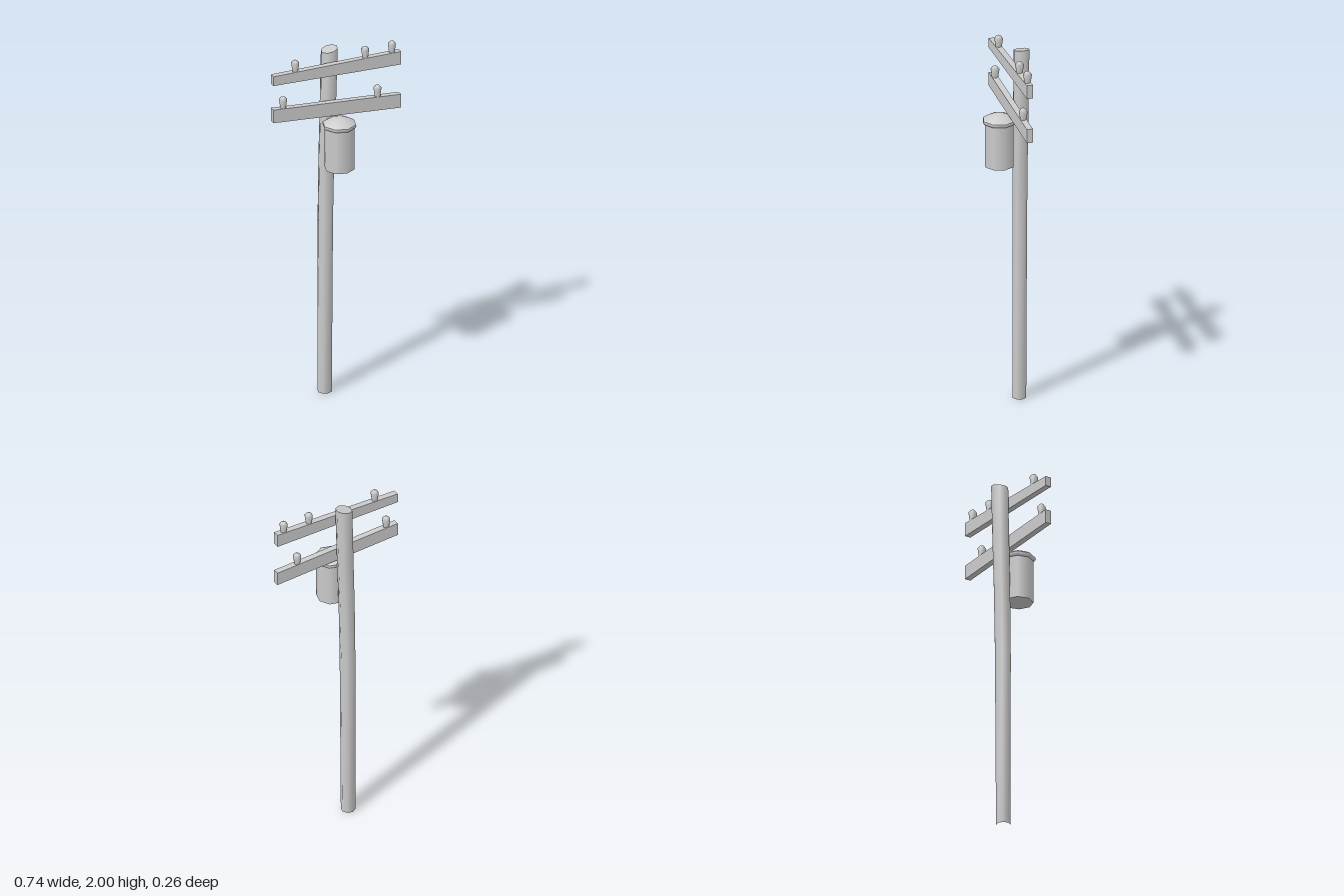
import * as THREE from 'three';

const material = new THREE.MeshStandardMaterial({ color: 0xcccccc });

function addMesh(parent, name, geometry) {
  const mesh = new THREE.Mesh(geometry, material);
  mesh.name = name;
  parent.add(mesh);
  return mesh;
}

// Eight-sided pole: each ring is [y, centre x, radius], bending toward +x
function makePole() {
  const rings = [
    [0, -0.032, 0.039], [1.0, -0.028, 0.042], [1.35, -0.022, 0.043],
    [1.7, -0.011, 0.045], [1.99, -0.003, 0.047],
  ];
  const sides = 8;
  const ringPoint = (r, i) => {
    const [y, cx, radius] = rings[r];
    const a = (i / sides) * Math.PI * 2;
    const dx = Math.sin(a) * radius;
    const tilt = r === rings.length - 1 ? dx * 0.2 : 0; // slanted saw cut at the top
    return [cx + dx, y + tilt, -0.086 + Math.cos(a) * Math.min(radius, 0.044)];
  };
  const positions = [], index = [];
  rings.forEach((_, r) => {
    for (let i = 0; i < sides; i++) positions.push(...ringPoint(r, i));
  });
  for (let r = 0; r < rings.length - 1; r++) {
    for (let i = 0; i < sides; i++) {
      const a = r * sides + i, b = r * sides + (i + 1) % sides;
      index.push(a, b, b + sides, a, b + sides, a + sides);
    }
  }
  // Separate vertices for the cap keep its edge sharp
  const top = rings.length - 1, cap = rings.length * sides;
  for (let i = 0; i < sides; i++) positions.push(...ringPoint(top, i));
  for (let i = 1; i < sides - 1; i++) index.push(cap, cap + i, cap + i + 1);
  const geometry = new THREE.BufferGeometry();
  geometry.setAttribute('position', new THREE.Float32BufferAttribute(positions, 3));
  geometry.setIndex(index);
  geometry.computeVertexNormals();
  return geometry;
}

// Tapered beam running between two end heights, [bottom, top] each
const YAW = Math.atan(0.132);
function makeArm(left, right) {
  const geometry = new THREE.BoxGeometry(0.744, 1, 0.034);
  const p = geometry.attributes.position;
  for (let i = 0; i < p.count; i++) {
    const [bottom, top] = p.getX(i) < 0 ? left : right;
    p.setY(i, p.getY(i) < 0 ? bottom : top);
  }
  geometry.computeVertexNormals();
  return geometry;
}

// Six-sided insulator: flared stem with a low pointed cap
function makeInsulator() {
  const profile = [[0.016, -0.005], [0.024, 0.046], [0.012, 0.061], [0, 0.066]]
    .map(([r, y]) => new THREE.Vector2(r, y));
  return new THREE.LatheGeometry(profile, 6, Math.PI / 6);
}

function addCrossarm(group, name, left, right, insulatorXs) {
  const arm = new THREE.Group();
  arm.name = name;
  arm.position.z = -0.023;
  arm.rotation.y = -YAW;
  addMesh(arm, 'beam', makeArm(left, right));
  insulatorXs.forEach((worldX) => {
    const x = worldX / Math.cos(YAW);
    const insulator = addMesh(arm, 'insulator', makeInsulator());
    insulator.position.set(x, THREE.MathUtils.mapLinear(x, -0.372, 0.372, left[1], right[1]), 0);
    insulator.rotation.y = YAW;
  });
  group.add(arm);
}

export function createModel() {
  const model = new THREE.Group();
  model.name = 'utilityPole';

  addMesh(model, 'pole', makePole());

  addCrossarm(model, 'upperCrossarm', [1.874, 1.928], [1.86, 1.936], [-0.236, 0.168, 0.322]);
  addCrossarm(model, 'lowerCrossarm', [1.657, 1.733], [1.608, 1.686], [-0.306, 0.239]);

  // Transformer can with an overhanging rim and a shallow domed lid
  const transformer = new THREE.Group();
  transformer.name = 'transformer';
  transformer.position.set(-0.016, 0, 0.037);
  const can = addMesh(transformer, 'can', new THREE.CylinderGeometry(0.081, 0.081, 0.245, 8));
  can.position.y = 1.4675;
  const lathe = (points) =>
    new THREE.LatheGeometry(points.map(([r, y]) => new THREE.Vector2(r, y)), 8);
  addMesh(transformer, 'lidRim', lathe([[0.079, 1.585], [0.087, 1.588], [0.093, 1.598], [0.091, 1.607]]));
  addMesh(transformer, 'lidDome', lathe([[0.091, 1.607], [0.065, 1.624], [0.034, 1.636], [0, 1.641]]));
  model.add(transformer);

  return model;
}
